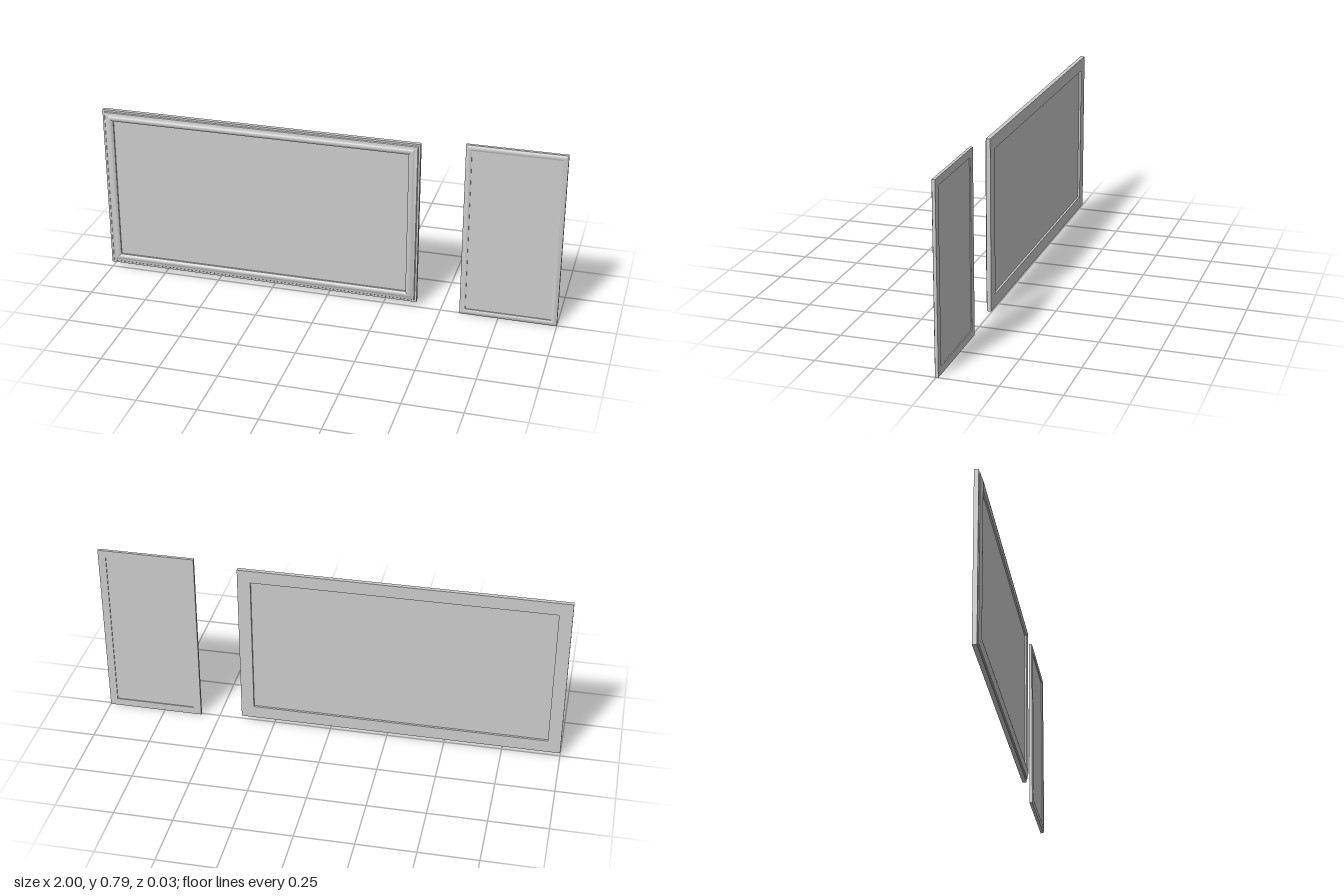
import * as THREE from 'three';
import { toCreasedNormals } from 'three/addons/utils/BufferGeometryUtils.js';

const material = new THREE.MeshStandardMaterial({ color: 0xcccccc });

// Sweep a closed [inset, z] profile round a rectangle with mitred corners
function mitredFrame(width, height, profile) {
  const corners = [[-1, -1], [1, -1], [1, 1], [-1, 1]];
  const point = ([sx, sy], [inset, z]) => [sx * (width / 2 - inset), sy * (height / 2 - inset), z];
  const positions = [];
  corners.forEach((c0, i) => {
    const c1 = corners[(i + 1) % 4];
    profile.forEach((p0, j) => {
      const p1 = profile[(j + 1) % profile.length];
      const a = point(c0, p0), b = point(c1, p0), c = point(c1, p1), d = point(c0, p1);
      positions.push(...a, ...b, ...c, ...a, ...c, ...d);
    });
  });
  const geometry = new THREE.BufferGeometry();
  geometry.setAttribute('position', new THREE.Float32BufferAttribute(positions, 3));
  return toCreasedNormals(geometry, 0.6);
}

function pictureFrame(name, [x0, x1, y0, y1], profile, panelInset, panelBack, panelFront) {
  const group = new THREE.Group();
  group.name = name;
  const width = x1 - x0, height = y1 - y0;

  // Moulding
  const moulding = new THREE.Mesh(mitredFrame(width, height, profile), material);
  moulding.name = 'moulding';

  // Flat panel held in the moulding
  const panel = new THREE.Mesh(
    new THREE.BoxGeometry(width - 2 * panelInset, height - 2 * panelInset, panelFront - panelBack), material);
  panel.position.z = (panelFront + panelBack) / 2;
  panel.name = 'panel';

  group.add(moulding, panel);
  group.position.set((x0 + x1) / 2, (y0 + y1) / 2, 0);
  return group;
}

export function createModel() {
  const model = new THREE.Group();
  model.name = 'pictureFrames';

  // Wide frame: stepped outer lip, rounded bead, drop to the panel
  const wideProfile = [
    [0, -0.0155], [0, 0.003], [0.008, 0.003], [0.011, 0.007], [0.018, 0.009],
    [0.024, 0.011], [0.029, 0.0145], [0.034, 0.0155], [0.039, 0.015],
    [0.044, 0.011], [0.048, 0.009], [0.048, 0], [0.056, 0], [0.056, -0.0155],
  ];
  model.add(pictureFrame('wideFrame', [-1, 0.395, 0.025, 0.764], wideProfile, 0.046, -0.006, 0.002));

  // Tall frame: slimmer rounded moulding
  const tallProfile = [
    [0, -0.009], [0, 0.004], [0.004, 0.005], [0.008, 0.0075], [0.013, 0.009],
    [0.018, 0.0085], [0.022, 0.006], [0.025, 0.005], [0.025, -0.001],
    [0.033, -0.001], [0.033, -0.009],
  ];
  model.add(pictureFrame('tallFrame', [0.583, 1, 0, 0.787], tallProfile, 0.024, -0.005, 0.001));

  return model;
}
